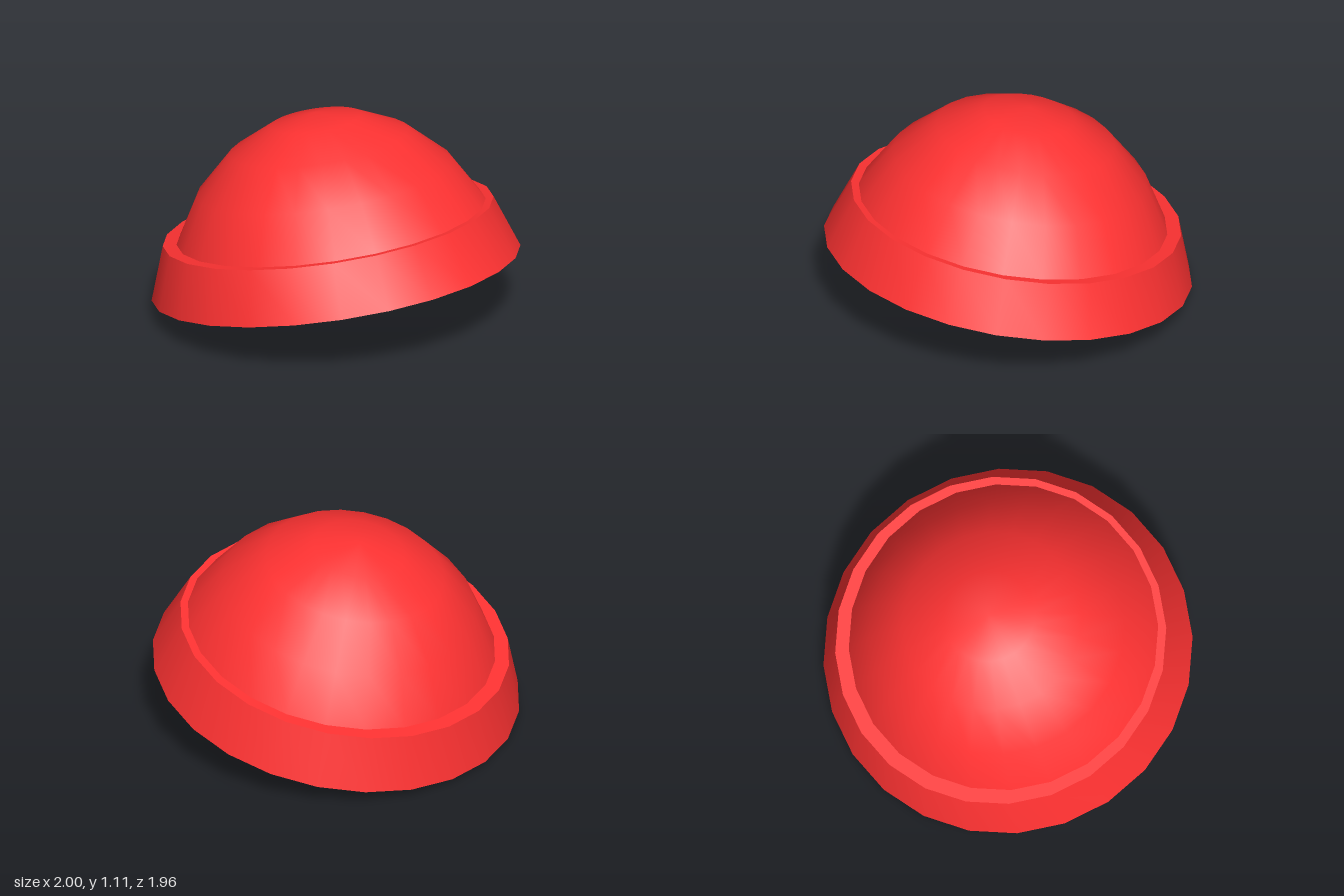
import * as THREE from 'three';
import { toCreasedNormals } from 'three/addons/utils/BufferGeometryUtils.js';

const SIDES = 24;

// Turns a profile of [radius, height] points, running up the outside and down the inside
function turned(profile) {
  return new THREE.LatheGeometry(profile.map(([r, y]) => new THREE.Vector2(r, y)), SIDES);
}

export function createModel() {
  const model = new THREE.Group();
  model.name = 'beanieHat';
  const red = new THREE.MeshStandardMaterial({ color: 0xff3232, side: THREE.DoubleSide });

  // The whole hat tips back, with the brow raised
  const hat = new THREE.Group();
  hat.name = 'tiltedHat';
  hat.rotation.x = -0.2;
  hat.position.y = 0.212;
  model.add(hat);

  const addPart = (name, geometry) => {
    const mesh = new THREE.Mesh(toCreasedNormals(geometry, 0.7), red);
    mesh.name = name;
    hat.add(mesh);
    return mesh;
  };

  // Folded cuff: a thick, tapering ring with a flat top and a narrow inner ledge
  const cuff = turned([
    [0.947, -0.0125], [1, 0], [0.897, 0.289], [0.812, 0.289], [0.812, 0.282], [0.85, 0.282], [0.947, -0.0125],
  ]);
  // The inner hem dips towards the back
  const p = cuff.attributes.position;
  for (let i = 0; i < p.count; i++) {
    if (p.getY(i) < -0.01) p.setY(i, p.getY(i) + 0.013 * p.getZ(i));
  }
  addPart('cuff', cuff);

  // Crown: a thin dome, open below, standing on the ledge
  const crown = addPart('crown', turned([
    [0.84, 0.286], [0.693, 0.538], [0.485, 0.738], [0.248, 0.858], [0, 0.902],
  ]));
  crown.position.z = 0.022;

  return model;
}
